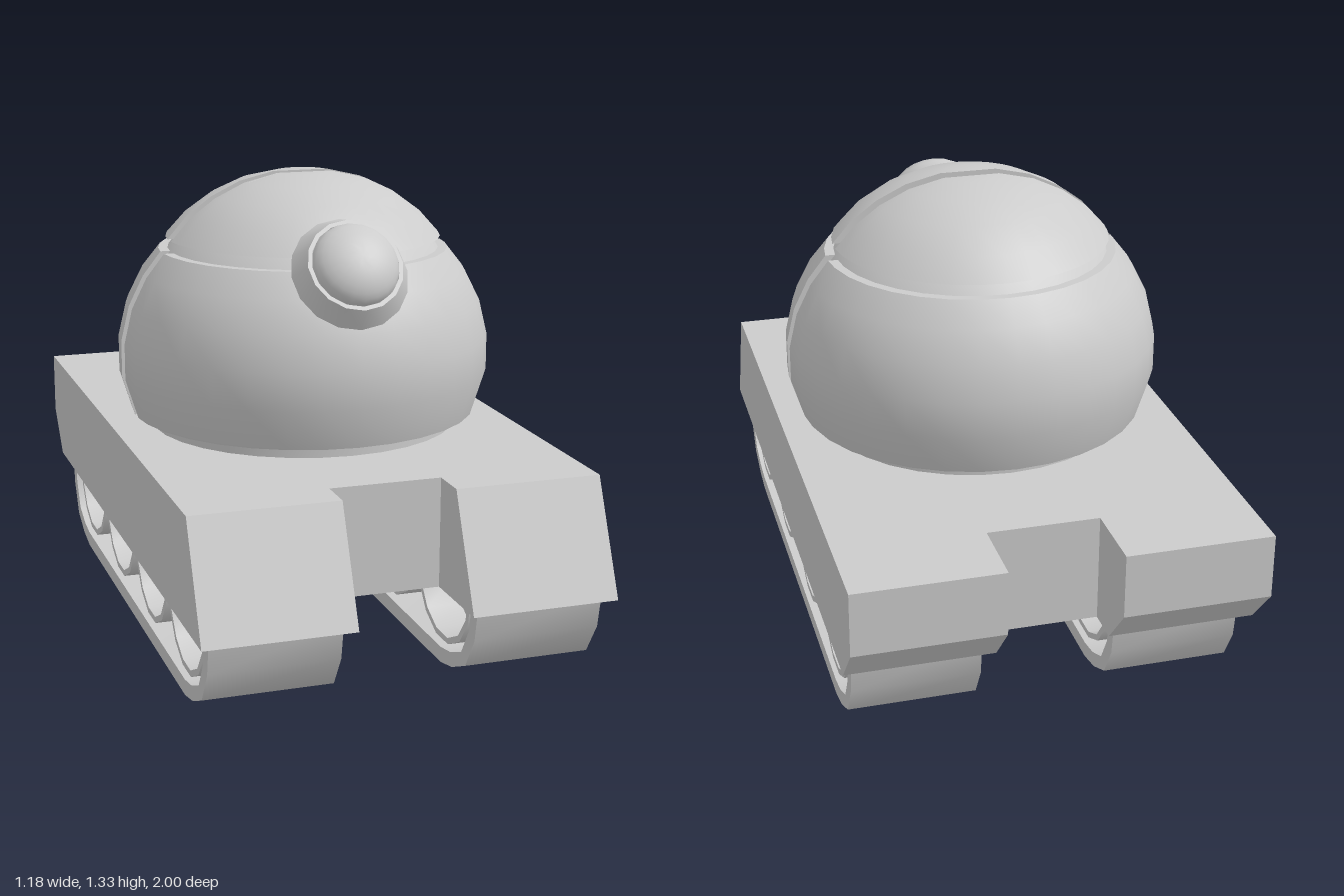
import * as THREE from 'three';
import { toCreasedNormals } from 'three/addons/utils/BufferGeometryUtils.js';

const material = new THREE.MeshStandardMaterial({ color: 0xcccccc, side: THREE.DoubleSide });
const vectors = (pts) => pts.map(([x, y]) => new THREE.Vector2(x, y));

function addMesh(parent, name, geometry, crease = 0.6) {
  const mesh = new THREE.Mesh(toCreasedNormals(geometry, crease), material);
  mesh.name = name;
  parent.add(mesh);
  return mesh;
}

// Extrudes a side outline given as [z, y] from x0 to x1
function sideExtrude(pts, x0, x1) {
  const geo = new THREE.ExtrudeGeometry(new THREE.Shape(vectors(pts)), { depth: x1 - x0, bevelEnabled: false });
  return geo.rotateY(-Math.PI / 2).translate(x1, 0, 0);
}

const CENTER_Y = 0.77;
const SLIT = 0.022; // half width of the vertical slit

// Points on a sphere between two heights, as a lathe profile
function arc(radius, y0, y1, steps) {
  const a0 = Math.asin((y0 - CENTER_Y) / radius);
  const a1 = Math.asin(Math.max(-1, Math.min(1, (y1 - CENTER_Y) / radius)));
  return Array.from({ length: steps + 1 }, (_, i) => {
    const a = a0 + (a1 - a0) * i / steps;
    return [Math.max(0, radius * Math.cos(a)), CENTER_Y + radius * Math.sin(a)];
  });
}

// Half of a turned shell, trimmed flat along the slit
function addHalfShell(parent, name, outer, inner, back) {
  const loop = [...outer, ...inner];
  const geo = new THREE.LatheGeometry(vectors([...loop, loop[0]]), 16, -Math.PI / 2, Math.PI);
  const pos = geo.attributes.position;
  for (let i = 0; i < pos.count; i++) pos.setZ(i, Math.max(SLIT, pos.getZ(i)));
  const half = new THREE.Group();
  half.name = name;
  addMesh(half, name + 'Surface', geo);
  for (const s of [1, -1]) {
    const wall = new THREE.ShapeGeometry(new THREE.Shape(vectors(loop.map(([x, y]) => [s * x, y]))));
    addMesh(half, name + 'SlitWall', wall.rotateY(Math.PI).translate(0, 0, SLIT));
  }
  if (back) half.rotation.y = Math.PI;
  parent.add(half);
}

function createDome() {
  const dome = new THREE.Group();
  dome.name = 'dome';
  dome.position.z = 0.01;

  addMesh(dome, 'neck', new THREE.CylinderGeometry(0.468, 0.468, 0.06, 32).translate(0, 0.59, 0));
  addMesh(dome, 'core', new THREE.LatheGeometry(
    vectors([[0, 0.613], ...arc(0.53, 0.613, 1.3, 16)]), 32));

  const lower = [[0.525, 0.61], [0.562, 0.73], [0.562, 0.84], [0.537, 0.945], [0.492, 1.035], [0.437, 1.105]];
  const upper = [[0.415, 1.14], [0.357, 1.205], [0.28, 1.262], [0.19, 1.305], [0.085, 1.33], [0, 1.33]];
  for (const back of [false, true]) {
    const side = back ? 'back' : 'front';
    addHalfShell(dome, side + 'LowerShell', lower, arc(0.515, 1.105, 0.61, 8), back);
    addHalfShell(dome, side + 'UpperShell', upper, arc(0.515, 1.285, 1.14, 8), back);
  }
  return dome;
}

// Eye built along +y, then tilted to look forward and up
function createEye() {
  const eye = new THREE.Group();
  eye.name = 'eye';
  addMesh(eye, 'eyeSocket', new THREE.LatheGeometry(
    vectors([[0, -0.01], [0.173, 0], [0.14, 0.06], [0.128, 0.06], [0.122, 0.05], [0, 0.05]]), 16));
  const lens = new THREE.SphereGeometry(0.127, 20, 8, 0, Math.PI * 2, 0, Math.PI / 2);
  addMesh(eye, 'eyeLens', lens.scale(1, 0.55, 1).translate(0, 0.055, 0));
  eye.position.set(0, 1.095, 0.445);
  eye.rotation.x = THREE.MathUtils.degToRad(54.5);
  return eye;
}

function createTrack(side) {
  const track = new THREE.Group();
  track.name = side > 0 ? 'leftTrack' : 'rightTrack';

  // Belt: open U-shaped band
  const belt = [
    [0.96, 0.26], [0.94, 0.155], [0.88, 0.06], [0.785, 0.018], [0.7, 0],
    [-0.6, 0], [-0.685, 0.018], [-0.775, 0.06], [-0.83, 0.155], [-0.845, 0.26],
    [-0.803, 0.26], [-0.79, 0.17], [-0.745, 0.09], [-0.67, 0.058], [-0.6, 0.046],
    [0.7, 0.046], [0.77, 0.058], [0.85, 0.09], [0.9, 0.17], [0.917, 0.26],
  ];
  addMesh(track, 'belt', sideExtrude(belt, 0.192, 0.562));

  // Dished wheels with stub axles
  const section = [[0, -0.07], [0.185, -0.07], [0.185, -0.175], [0.203, -0.175],
    [0.203, 0.175], [0.185, 0.175], [0.185, 0.07], [0, 0.07]];
  for (const z of [0.685, 0.272, -0.143, -0.556]) {
    const wheel = new THREE.Group();
    wheel.name = 'wheel';
    wheel.position.set(0.377, 0.262, z);
    addMesh(wheel, 'wheelRim', new THREE.LatheGeometry(vectors(section), 14).rotateZ(Math.PI / 2));
    addMesh(wheel, 'axle', new THREE.CylinderGeometry(0.024, 0.024, 0.33, 10).rotateZ(Math.PI / 2));
    track.add(wheel);
  }
  if (side < 0) track.position.x = -0.754;
  return track;
}

function createHull() {
  const hull = new THREE.Group();
  hull.name = 'hull';
  const flank = [[1, 0.25], [0.86, 0.57], [-1, 0.57], [-1, 0.38], [-0.885, 0.25]];
  const middle = [[0.75, 0.25], [0.75, 0.57], [-0.78, 0.57], [-0.78, 0.25]];
  addMesh(hull, 'leftHull', sideExtrude(flank, 0.163, 0.592), 0.3);
  addMesh(hull, 'rightHull', sideExtrude(flank, -0.592, -0.163), 0.3);
  addMesh(hull, 'middleHull', sideExtrude(middle, -0.163, 0.163), 0.3);
  return hull;
}

export function createModel() {
  const model = new THREE.Group();
  model.name = 'trackedDomeRobot';
  model.add(createHull(), createTrack(1), createTrack(-1), createDome(), createEye());
  return model;
}
